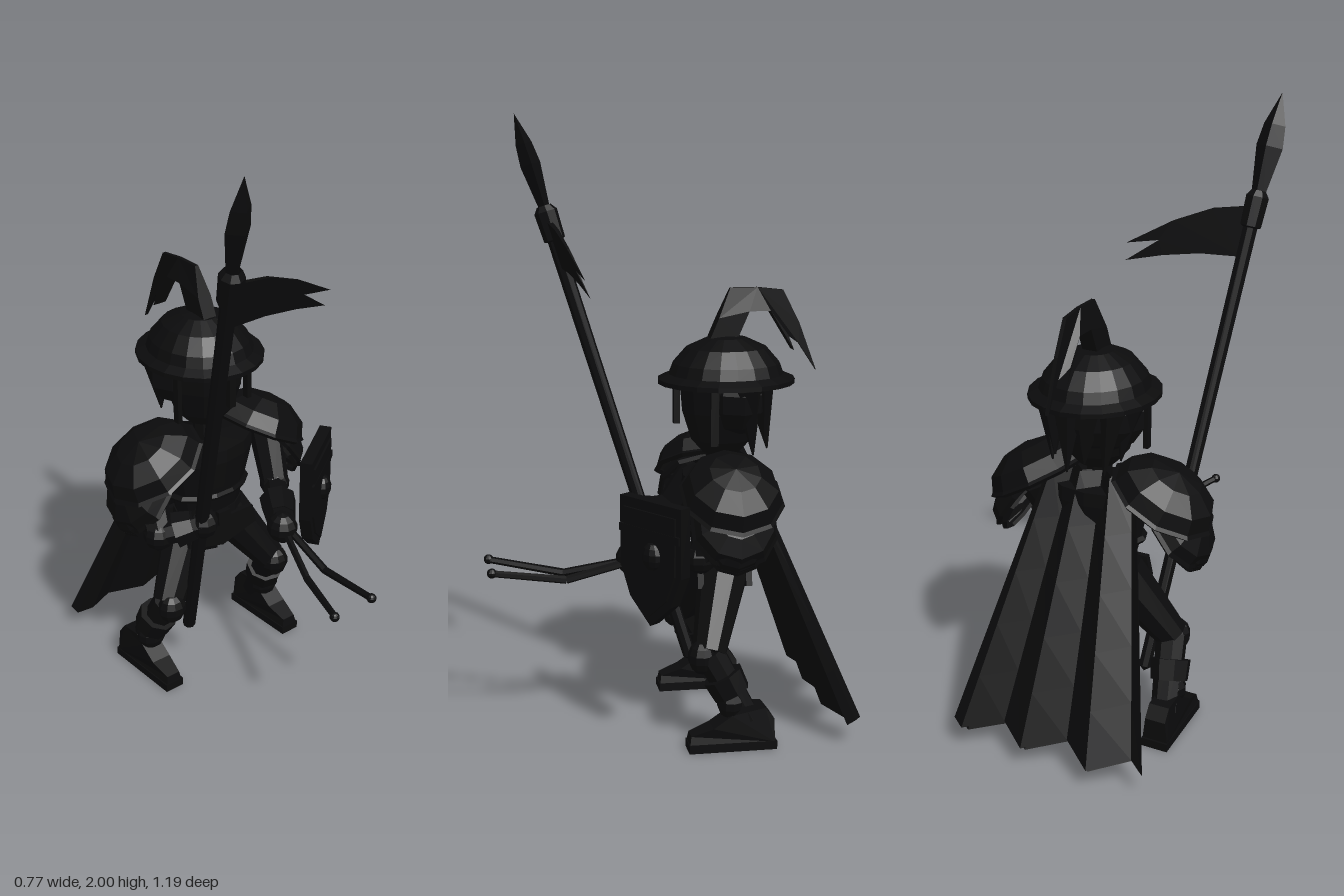
import * as THREE from 'three';

const mat = new THREE.MeshStandardMaterial({ color: 0x0b0b0c, flatShading: true, side: THREE.DoubleSide });
const V = (p) => new THREE.Vector3(...p);
const lathe = (pts, sides) => new THREE.LatheGeometry(pts.map(p => new THREE.Vector2(...p)), sides);

function add(parent, name, geo, pos = [0, 0, 0], rot = [0, 0, 0], scale = [1, 1, 1]) {
  const m = new THREE.Mesh(geo, mat);
  m.name = name;
  m.position.set(...pos);
  m.rotation.set(...rot);
  m.scale.set(...scale);
  parent.add(m);
  return m;
}

// Tapered rod from a to b
function rod(parent, name, a, b, ra, rb = ra, sides = 8) {
  const d = V(b).sub(V(a));
  const m = add(parent, name, new THREE.CylinderGeometry(rb, ra, d.length(), sides));
  m.position.copy(V(a)).addScaledVector(d, 0.5);
  m.quaternion.setFromUnitVectors(new THREE.Vector3(0, 1, 0), d.normalize());
}

const ball = (parent, name, pos, scale) =>
  add(parent, name, new THREE.SphereGeometry(1, 10, 7), pos, [0, 0, 0], scale);

function outline(pts, depth) {
  const g = new THREE.ExtrudeGeometry(new THREE.Shape(pts.map(p => new THREE.Vector2(...p))), { depth, bevelEnabled: false });
  return g.translate(0, 0, -depth / 2);
}

// Moves every vertex of a geometry by a rule
function bend(geo, rule) {
  const p = geo.attributes.position, v = new THREE.Vector3();
  for (let i = 0; i < p.count; i++) {
    rule(v.fromBufferAttribute(p, i), i);
    p.setXYZ(i, v.x, v.y, v.z);
  }
  return geo;
}

function buildHead(root) {
  const g = new THREE.Group();
  g.name = 'head';
  rod(g, 'neck', [0, 0.8, -0.17], [0, 0.97, -0.18], 0.042);
  add(g, 'face', lathe([[0, 0.91], [0.06, 0.92], [0.1, 0.965], [0.13, 1.06], [0.14, 1.17]], 10), [0, 0, -0.185]);
  ball(g, 'hair', [0, 1.1, -0.22], [0.182, 0.13, 0.11]);

  // Hair locks hang down the back
  for (let i = 0; i < 6; i++) {
    const a = 0.35 + (i / 5) * (Math.PI - 0.7);
    const x = Math.cos(a) * 0.15, z = -0.2 - Math.sin(a) * 0.11;
    rod(g, 'hairLock', [x, 1.15, z], [x * 0.85, 0.93 + (i % 2) * 0.04, z - 0.025], 0.05, 0.003, 5);
  }

  // Helmet: dome, sloping brim, nose guard and cheek straps
  const helmet = lathe([[0, 1.305], [0.06, 1.295], [0.12, 1.265], [0.16, 1.215], [0.172, 1.18], [0.205, 1.165],
    [0.205, 1.15], [0.16, 1.155], [0.14, 1.15]], 20);
  add(g, 'helmet', helmet, [0, 0, -0.2], [0, 0, 0], [1, 1, 1.09]);
  add(g, 'noseGuard', new THREE.BoxGeometry(0.025, 0.14, 0.02), [0, 1.09, -0.035]);
  for (const s of [-1, 1]) add(g, 'cheekStrap', new THREE.BoxGeometry(0.016, 0.19, 0.025), [s * 0.144, 1.065, -0.13]);

  // Plume outline drawn in (-z, y), thinned towards its ridge and tip
  const plume = outline([[0.14, 1.29], [0.17, 1.36], [0.21, 1.455], [0.3, 1.455], [0.385, 1.445], [0.44, 1.34],
    [0.5, 1.18], [0.44, 1.27], [0.4, 1.3], [0.42, 1.25], [0.34, 1.38], [0.27, 1.38], [0.235, 1.3]], 0.05);
  bend(plume, v => { v.z *= v.y > 1.43 || v.x > 0.43 ? 0.25 : 1; });
  add(g, 'plume', plume, [0, 0, 0], [0, Math.PI / 2, 0]);
  root.add(g);
}

function buildTorso(root) {
  const z = -0.17, sc = [1, 1, 0.65];
  add(root, 'torso', lathe([[0, 0.48], [0.11, 0.49], [0.12, 0.58], [0.15, 0.7], [0.175, 0.8], [0.172, 0.845],
    [0.06, 0.855], [0, 0.855]], 12), [0, 0, z], [0, 0, 0], sc);
  add(root, 'breastplateEdge', new THREE.TorusGeometry(0.147, 0.013, 5, 14), [0, 0.67, z], [Math.PI / 2, 0, 0], [1, 0.67, 1]);
  add(root, 'belt', new THREE.CylinderGeometry(0.13, 0.135, 0.045, 12), [0, 0.575, z], [0, 0, 0], sc);
  add(root, 'buckle', new THREE.BoxGeometry(0.05, 0.05, 0.02), [0, 0.575, z + 0.09]);
  // Pointed front and back skirt
  const skirt = outline([[-0.13, 0.57], [0.13, 0.57], [0.145, 0.5], [0, 0.46], [-0.145, 0.5]], 0.02);
  for (const s of [-1, 1]) add(root, 'skirtPanel', skirt, [0, 0, z + s * 0.08]);
}

function buildShoulder(root, s) {
  const plate = (name, pos, tilt, scale) => {
    add(root, name, new THREE.SphereGeometry(1, 10, 3, 0, Math.PI * 2, 0, Math.PI / 2), pos, [0, 0, -s * tilt], scale);
    add(root, name + 'Rim', new THREE.TorusGeometry(1, 0.07, 4, 10).rotateX(Math.PI / 2), pos, [0, 0, -s * tilt],
      [scale[0] * 0.97, 0.15, scale[2] * 0.97]);
  };
  plate('shoulderPlate', [s * 0.22, 0.825, -0.17], 0.5, [0.178, 0.115, 0.162]);
  plate('lowerShoulderPlate', [s * 0.275, 0.745, -0.165], 0.95, [0.145, 0.085, 0.138]);
  plate('upperArmPlate', [s * 0.3, 0.695, -0.16], 1.1, [0.1, 0.07, 0.1]);
}

function buildArm(root, name, shoulder, elbow, hand) {
  const g = new THREE.Group();
  g.name = name;
  rod(g, 'upperArm', shoulder, elbow, 0.06, 0.048);
  ball(g, 'elbow', elbow, [0.052, 0.052, 0.052]);
  rod(g, 'forearm', elbow, hand, 0.042, 0.05);
  const along = t => V(elbow).lerp(V(hand), t).toArray();
  rod(g, 'gloveCuff', along(0.4), along(0.8), 0.064, 0.052);
  ball(g, 'hand', hand, [0.05, 0.055, 0.055]);
  root.add(g);
}

function buildLeg(root, s) {
  const g = new THREE.Group();
  g.name = s > 0 ? 'leftLeg' : 'rightLeg';
  const knee = [s * 0.225, 0.31, -0.1], ankle = [s * 0.258, 0.09, -0.22];
  rod(g, 'thigh', [s * 0.075, 0.54, -0.18], knee, 0.085, 0.055, 9);
  ball(g, 'kneeGuard', [s * 0.228, 0.3, -0.075], [0.05, 0.056, 0.045]);
  rod(g, 'shin', knee, ankle, 0.052, 0.045);
  rod(g, 'bootCuff', [s * 0.24, 0.24, -0.14], [s * 0.25, 0.18, -0.17], 0.068, 0.062);
  ball(g, 'shinGuard', [s * 0.255, 0.15, -0.165], [0.052, 0.055, 0.045]);
  // Boot profile drawn in (-z, y), narrower at the top and toe
  const boot = outline([[0.025, 0.025], [0.03, 0.055], [0.1, 0.08], [0.16, 0.12], [0.19, 0.15], [0.27, 0.14],
    [0.3, 0.1], [0.3, 0.025]], 0.088);
  bend(boot, v => { v.z *= (v.y > 0.05 ? 0.8 : 1) * (v.x < 0.05 ? 0.7 : 1); });
  add(g, 'boot', boot, [s * 0.262, 0, 0], [0, Math.PI / 2, 0]);
  const sole = bend(new THREE.BoxGeometry(0.092, 0.028, 0.285), v => { if (v.z > 0) v.x *= 0.75; });
  add(g, 'sole', sole, [s * 0.262, 0.014, -0.165]);
  root.add(g);
}

// Cape: a thick, folded sheet, lofted from the shoulders to a zigzag hem
function buildCape(root) {
  const hem = [[-0.34, 0.08, -0.555], [-0.29, 0.1, -0.525], [-0.17, 0.07, -0.6], [-0.06, 0.1, -0.52],
    [0.07, 0.07, -0.59], [0.17, 0.1, -0.52], [0.29, 0.08, -0.59], [0.335, 0.09, -0.56]];
  const lining = hem.map(([x, y, z]) => [x * 0.97, y - 0.02, z + 0.025]).reverse();
  const loop = [...hem, ...lining, hem[0]], n = loop.length, rows = 5;
  add(root, 'cape', bend(new THREE.PlaneGeometry(1, 1, n - 1, rows), (v, i) => {
    const h = loop[i % n];
    v.set(h[0] * 0.45, 0.9, -0.225 + (h[2] + 0.55) * 0.6).lerp(V(h), Math.floor(i / n) / rows);
  }));
}

function buildSpear(root) {
  const g = new THREE.Group();
  g.name = 'spear';
  const foot = V([-0.13, 0.15, -0.115]), dir = V([-0.33, 2, 0.44]).sub(foot);
  add(g, 'shaft', lathe([[0, 0], [0.022, 0.02], [0.025, 1.6], [0, 1.6]], 8));
  add(g, 'socket', lathe([[0.025, 1.51], [0.036, 1.515], [0.039, 1.61], [0.024, 1.63]], 8));
  add(g, 'blade', lathe([[0.022, 1.61], [0.045, 1.77], [0.036, 1.84], [0, dir.length()]], 4), [0, 0, 0], [0, 0, 0], [1, 1, 0.75]);
  g.position.copy(foot);
  g.quaternion.setFromUnitVectors(new THREE.Vector3(0, 1, 0), dir.normalize());
  root.add(g);

  // Two-tailed pennant leaning with the shaft, thinning towards its tails
  const flag = outline([[-0.29, 1.655], [-0.15, 1.635], [-0.02, 1.585], [0.135, 1.5], [0.02, 1.52], [0.13, 1.445],
    [0, 1.475], [-0.13, 1.495], [-0.27, 1.5]], 0.02);
  add(root, 'pennant', bend(flag, v => {
    v.z = v.z * (0.14 - v.x) * 2.4 + 0.335 + (v.y - 1.65) * 0.3 - (v.x + 0.27) * 0.04;
  }));
}

function buildShield(root) {
  const g = new THREE.Group();
  g.name = 'shield';
  const half = [[0.133, 0.2], [0.133, -0.02], [0.09, -0.12], [0, -0.2]];
  const shape = k => [...half, ...half.slice(0, 3).reverse().map(([x, y]) => [-x, y])].map(([x, y]) => [x * k, y * k]).reverse();
  add(g, 'shieldRim', outline(shape(1), 0.04));
  add(g, 'shieldFace', outline(shape(0.84), 0.012), [0, 0, 0.021]);
  add(g, 'crossBand', new THREE.BoxGeometry(0.26, 0.025, 0.012), [0, 0.1, 0.022]);
  ball(g, 'boss', [0.015, 0.03, 0.025], [0.038, 0.045, 0.028]);
  g.position.set(0.268, 0.635, 0.085);
  g.rotation.y = 0.6;
  root.add(g);
}

export function createModel() {
  const root = new THREE.Group();
  root.name = 'footSoldier';
  buildHead(root);
  buildTorso(root);
  for (const s of [-1, 1]) {
    buildShoulder(root, s);
    buildLeg(root, s);
  }
  buildArm(root, 'rightArm', [-0.26, 0.8, -0.16], [-0.29, 0.635, -0.05], [-0.175, 0.68, 0.035]);
  buildArm(root, 'leftArm', [0.25, 0.8, -0.16], [0.22, 0.63, -0.07], [0.09, 0.6, 0.125]);
  buildCape(root);
  buildSpear(root);
  buildShield(root);
  // Pair of bent reins with end knobs, held in the left hand
  for (const [x0, x1, x2] of [[0.085, 0.015, -0.08], [0.105, 0.092, 0.075]]) {
    rod(root, 'rein', [x0, 0.59, 0.15], [x1, 0.54, 0.34], 0.013, 0.013, 6);
    rod(root, 'rein', [x1, 0.54, 0.34], [x2, 0.57, 0.58], 0.013, 0.011, 6);
    ball(root, 'reinKnob', [x2, 0.57, 0.576], [0.016, 0.016, 0.016]);
  }
  return root;
}
